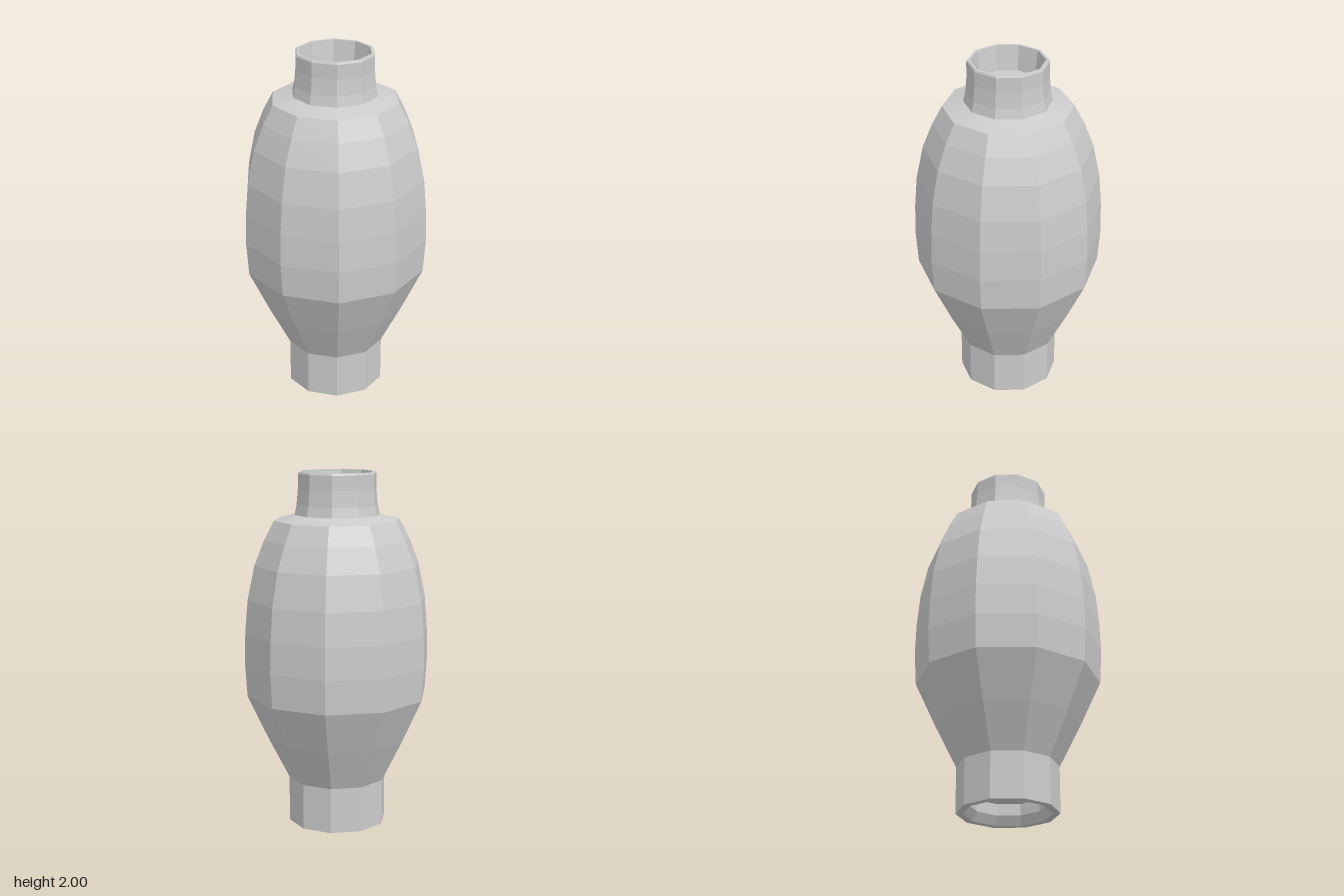
import * as THREE from 'three';
import { toCreasedNormals } from 'three/addons/utils/BufferGeometryUtils.js';

const SIDES = 10;

// Ten-sided turned section from [radius, height] pairs, with a corner on +x
function turned(name, profile, smooth = false) {
  const points = profile.map(([r, y]) => new THREE.Vector2(r, y));
  let geometry = new THREE.LatheGeometry(points, SIDES, Math.PI / 2);
  if (smooth) geometry = toCreasedNormals(geometry, Math.PI / 6);
  const material = new THREE.MeshStandardMaterial({
    color: 0xcccccc, flatShading: !smooth, side: THREE.DoubleSide,
  });
  const mesh = new THREE.Mesh(geometry, material);
  mesh.name = name;
  return mesh;
}

export function createModel() {
  const vase = new THREE.Group();
  vase.name = 'vase';

  // Straight foot with a recessed, bevelled underside
  vase.add(turned('foot', [
    [0, 0.115], [0.21, 0.115], [0.21, 0.05], [0.24, 0], [0.28, 0], [0.28, 0.26],
  ]));

  // Flared lower half and rounded belly
  vase.add(turned('body', [
    [0.28, 0.26], [0.4, 0.5], [0.515, 0.75], [0.527, 0.94], [0.522, 1.12],
    [0.506, 1.3], [0.466, 1.49], [0.41, 1.63],
  ]));

  // Softly shaded shoulder
  vase.add(turned('shoulder', [
    [0.41, 1.63], [0.354, 1.735], [0.27, 1.755], [0.24, 1.765],
  ], true));

  // Neck with a thin rim and a tapered, closed mouth
  vase.add(turned('neck', [
    [0.24, 1.765], [0.228, 1.82], [0.22, 1.91], [0.22, 1.99], [0.215, 2],
    [0.2, 2], [0.182, 1.86], [0, 1.86],
  ]));

  return vase;
}
